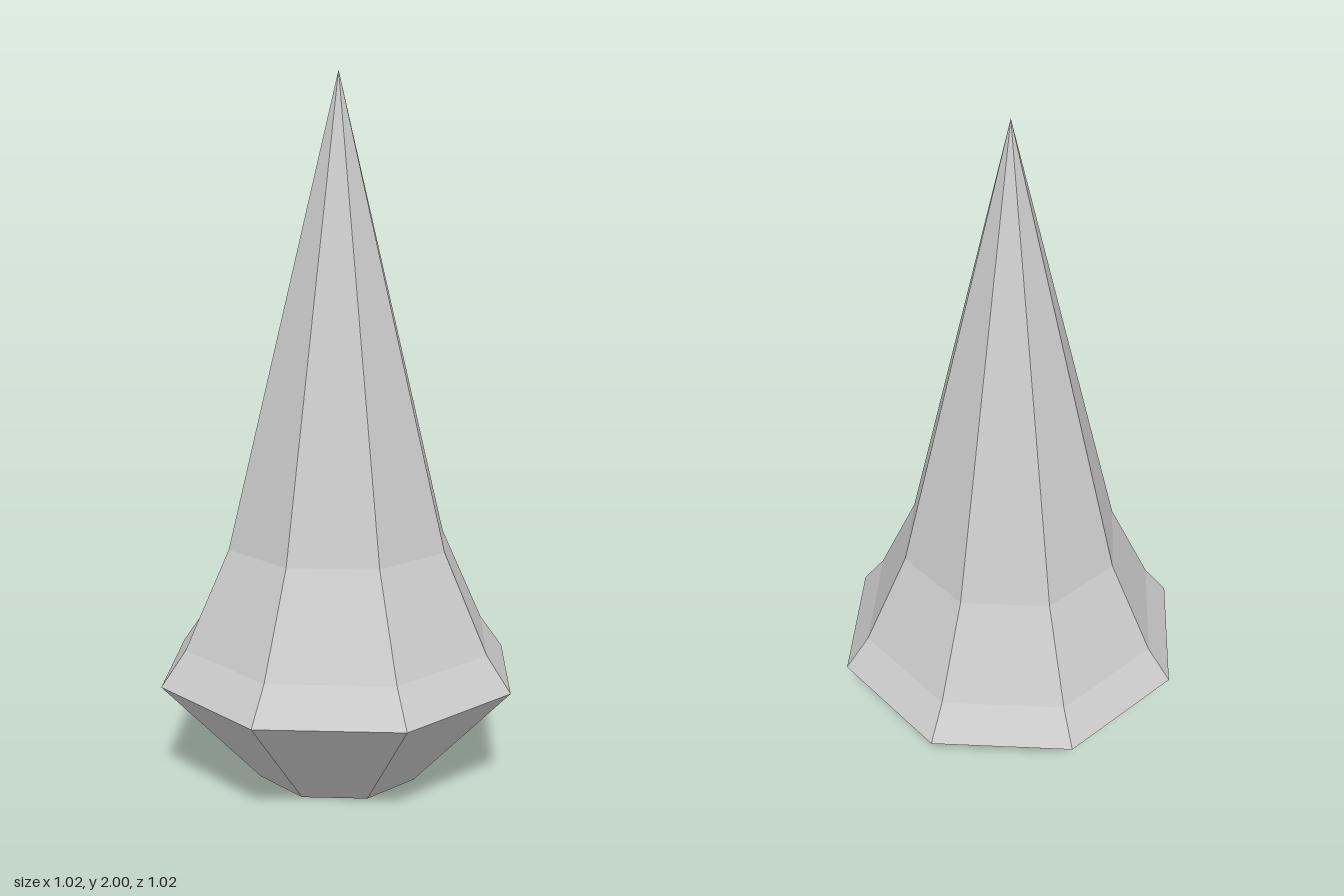
import * as THREE from 'three';

export function createModel() {
  const group = new THREE.Group();
  const sides = 8;

  // Profile from the open base ring, out to the widest edge, up to the tip
  const profile = [
    [0.24, 0],
    [0.527, 0.31],
    [0.455, 0.41],
    [0.326, 0.69],
    [0, 2],
  ].map(([r, y]) => new THREE.Vector2(r, y));

  // Hollow faceted spike, turned so no corner points straight ahead
  const spike = new THREE.Mesh(
    new THREE.LatheGeometry(profile, sides, Math.PI / 6),
    new THREE.MeshStandardMaterial({
      color: 0xcccccc,
      flatShading: true,
      side: THREE.DoubleSide,
    })
  );
  spike.name = 'spikeShell';
  group.add(spike);

  return group;
}
